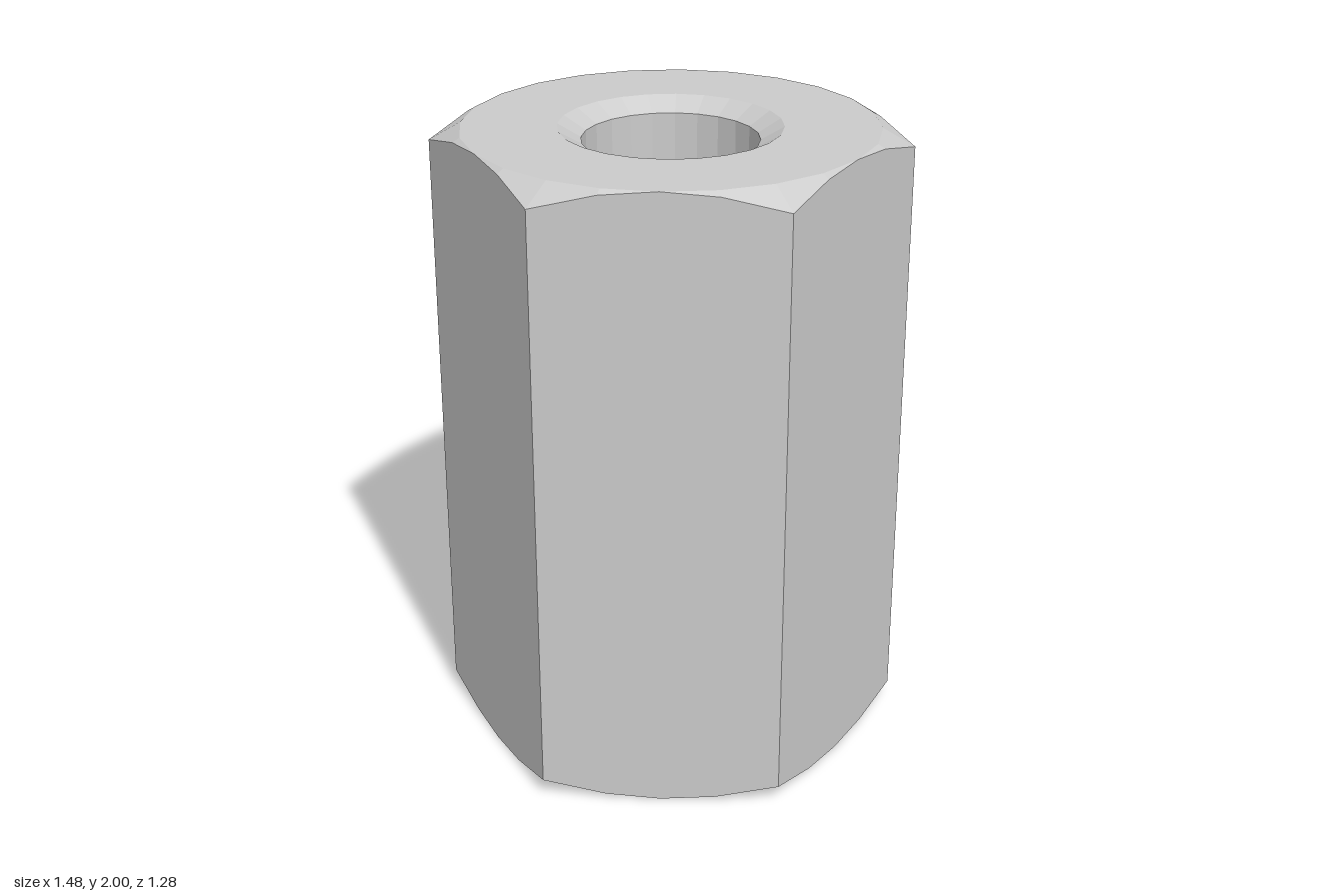
import * as THREE from 'three';

const HEIGHT = 2, APOTHEM = 0.64, CORNER = APOTHEM / Math.cos(Math.PI / 6);
const BORE = 0.273, SINK = 0.345, SLOPE = Math.tan(Math.PI / 6);
const SIDES = 24;

// Distance from the axis to the hexagon's edge; corners lie on the x axis
function hexRadius(angle) {
  const sector = Math.PI / 3;
  return APOTHEM / Math.cos(angle - Math.round(angle / sector) * sector);
}

export function createModel() {
  const group = new THREE.Group();
  group.name = 'hexStandoff';

  // Closed profile: lower countersink, lower face, flats, upper face, countersink, bore
  const sinkDepth = (SINK - BORE) * SLOPE;
  const chamfer = (CORNER - APOTHEM) * SLOPE;
  const profile = [
    [BORE, sinkDepth], [SINK, 0], [APOTHEM, 0], [CORNER, chamfer],
    [CORNER, HEIGHT - chamfer], [APOTHEM, HEIGHT], [SINK, HEIGHT],
    [BORE, HEIGHT - sinkDepth], [BORE, sinkDepth],
  ].map(([r, y]) => new THREE.Vector2(r, y));
  const lathe = new THREE.LatheGeometry(profile, SIDES);

  // Cut the outer rings to the hexagon, following the conical chamfer
  const pos = lathe.attributes.position;
  for (let i = 0; i < pos.count; i++) {
    const x = pos.getX(i), y = pos.getY(i), z = pos.getZ(i);
    if (Math.hypot(x, z) < APOTHEM + 0.01) continue;
    const angle = Math.atan2(x, z);
    const r = hexRadius(angle);
    const drop = (r - APOTHEM) * SLOPE;
    pos.setXYZ(i, r * Math.sin(angle), y < 1 ? drop : HEIGHT - drop, r * Math.cos(angle));
  }
  const geometry = lathe.toNonIndexed();
  geometry.computeVertexNormals();

  const body = new THREE.Mesh(
    geometry,
    new THREE.MeshStandardMaterial({ color: 0xcccccc, flatShading: true })
  );
  body.name = 'hexBody';
  group.add(body);
  return group;
}
